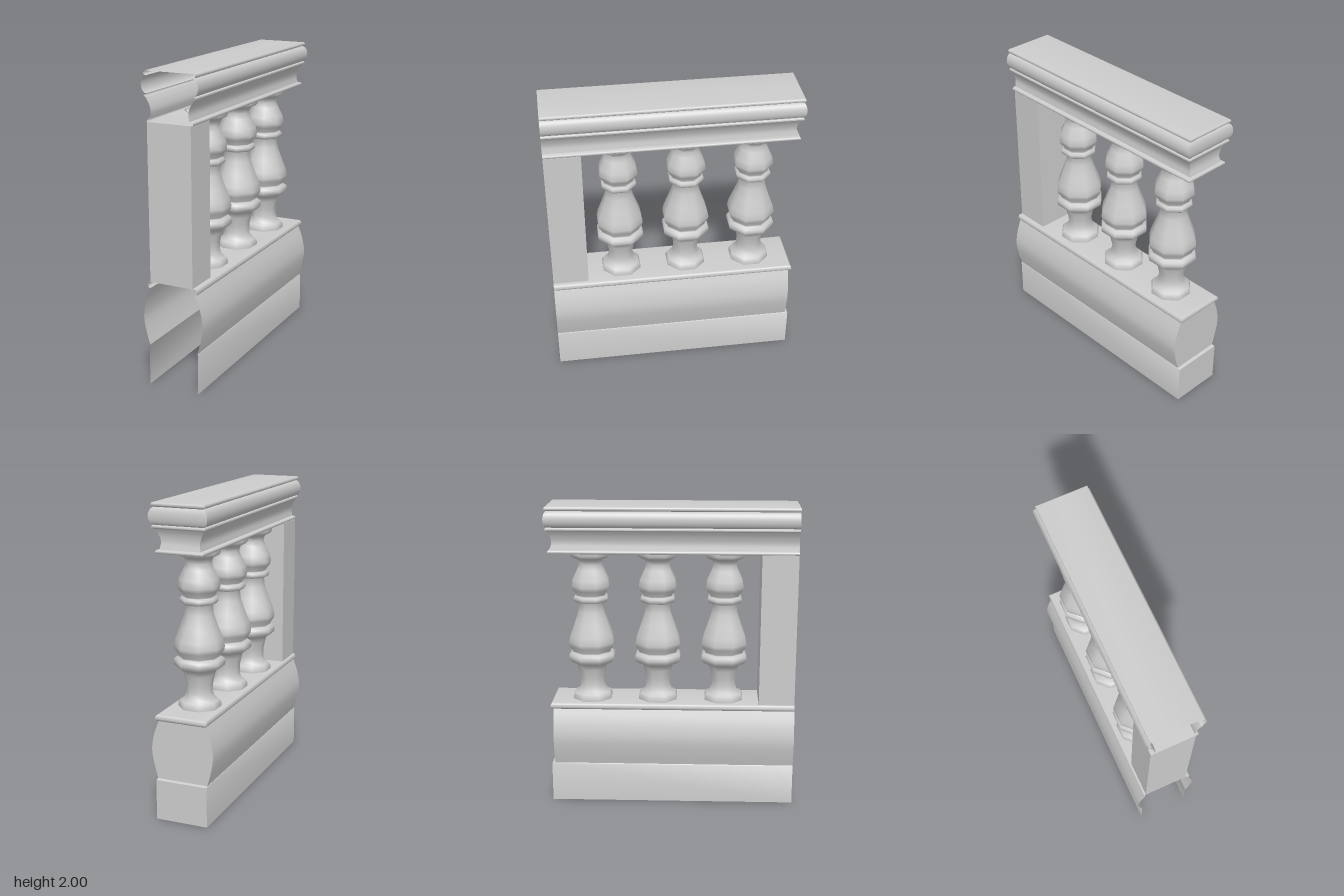
import * as THREE from 'three';
import { toCreasedNormals } from 'three/addons/utils/BufferGeometryUtils.js';

const FRONT = 0.815;
const material = new THREE.MeshStandardMaterial({ color: 0xcccccc, side: THREE.DoubleSide });

// Half-round moulding: points [half width, y, back depth] from y0 up to y1
function bead(x, back, y0, y1, depth, backDepth = depth, steps = 8) {
  const pts = [];
  for (let i = 0; i <= steps; i++) {
    const a = (i / steps) * Math.PI;
    const inset = 1 - Math.sin(a);
    pts.push([x - depth * inset, (y0 + y1) / 2 - Math.cos(a) * (y1 - y0) / 2, back - backDepth * inset]);
  }
  return pts;
}

// Smooth moulding through a few profile points
function curve(points, steps = 12) {
  const c = new THREE.CatmullRomCurve3(points.map(p => new THREE.Vector3(...p)));
  return c.getPoints(steps).map(p => [p.x, p.y, p.z]);
}

// Runs a profile along one side, round the back and along the other side; front stays open
function wrapProfile(profile) {
  const position = [];
  const rows = profile.map(([x, y, back]) => [
    [-x, y, FRONT], [-x, y, -back], [x, y, -back], [x, y, FRONT],
  ]);
  for (let i = 0; i < rows.length - 1; i++) {
    for (let j = 0; j < 3; j++) {
      const a = rows[i][j], b = rows[i][j + 1], c = rows[i + 1][j + 1], d = rows[i + 1][j];
      position.push(...a, ...d, ...c, ...a, ...c, ...b);
    }
  }
  const g = new THREE.BufferGeometry();
  g.setAttribute('position', new THREE.Float32BufferAttribute(position, 3));
  g.computeVertexNormals();
  return toCreasedNormals(g, 0.6);
}

function addMesh(parent, name, geometry, x = 0, y = 0, z = 0) {
  const mesh = new THREE.Mesh(geometry, material);
  mesh.name = name;
  mesh.position.set(x, y, z);
  parent.add(mesh);
  return mesh;
}

export function createModel() {
  const group = new THREE.Group();
  group.name = 'balustrade';

  // Base: open-bottomed plinth, swelling body and a beaded top
  addMesh(group, 'plinth', wrapProfile([[0.172, 0, 0.807], [0.172, 0.262, 0.807], [0.168, 0.268, 0.787]]));
  addMesh(group, 'baseBody', wrapProfile(curve([
    [0.168, 0.268, 0.787], [0.19, 0.35, 0.787], [0.207, 0.455, 0.787], [0.19, 0.56, 0.787], [0.157, 0.65, 0.787],
  ])));
  addMesh(group, 'baseTop', wrapProfile([
    [0.157, 0.65, 0.787], ...bead(0.173, 0.806, 0.65, 0.692, 0.016), [0, 0.692, 0.79],
  ]));

  // Hand rail: soffit, lower bead, cove, middle bead, large round and top slab
  addMesh(group, 'handRail', wrapProfile([
    [0, 1.695, 0.787],
    ...bead(0.156, 0.797, 1.695, 1.717, 0.01),
    ...curve([[0.132, 1.72, 0.782], [0.126, 1.765, 0.772], [0.14, 1.81, 0.778], [0.162, 1.846, 0.795]]),
    ...bead(0.173, 0.806, 1.846, 1.866, 0.01),
    ...bead(0.19, 0.813, 1.866, 1.972, 0.035, 0.02, 12),
    ...bead(0.173, 0.807, 1.975, 2, 0.01),
    [0, 2, 0.797],
  ]));

  // End post
  addMesh(group, 'endPost', new THREE.BoxGeometry(0.295, 1.005, 0.235), -0.008, 1.1935, 0.6965);

  // Turned balusters: eight sides, flats facing along the axes
  const turned = [
    [0.126, 0.69], [0.126, 0.715], [0.115, 0.735], [0.09, 0.75], [0.078, 0.79], [0.078, 0.84],
    [0.09, 0.9], [0.1, 0.935], [0.128, 0.946], [0.146, 0.962], [0.15, 0.983], [0.146, 1.004],
    [0.128, 1.018], [0.12, 1.024], [0.143, 1.06], [0.147, 1.085], [0.138, 1.13], [0.11, 1.21],
    [0.084, 1.29], [0.077, 1.355], [0.1, 1.358], [0.111, 1.37], [0.111, 1.388], [0.1, 1.4],
    [0.088, 1.404], [0.115, 1.44], [0.122, 1.465], [0.115, 1.51], [0.085, 1.575], [0.073, 1.61],
    [0.082, 1.64], [0.115, 1.658], [0.127, 1.675], [0.125, 1.7],
  ];
  const sides = 8;
  const grow = 1 / Math.cos(Math.PI / sides);
  const balusterGeometry = new THREE.LatheGeometry(
    turned.map(([r, y]) => new THREE.Vector2(r * grow, y)), sides);
  balusterGeometry.rotateY(Math.PI / sides);
  for (const z of [0.345, -0.095, -0.536]) addMesh(group, 'baluster', balusterGeometry, -0.008, 0, z);

  return group;
}
